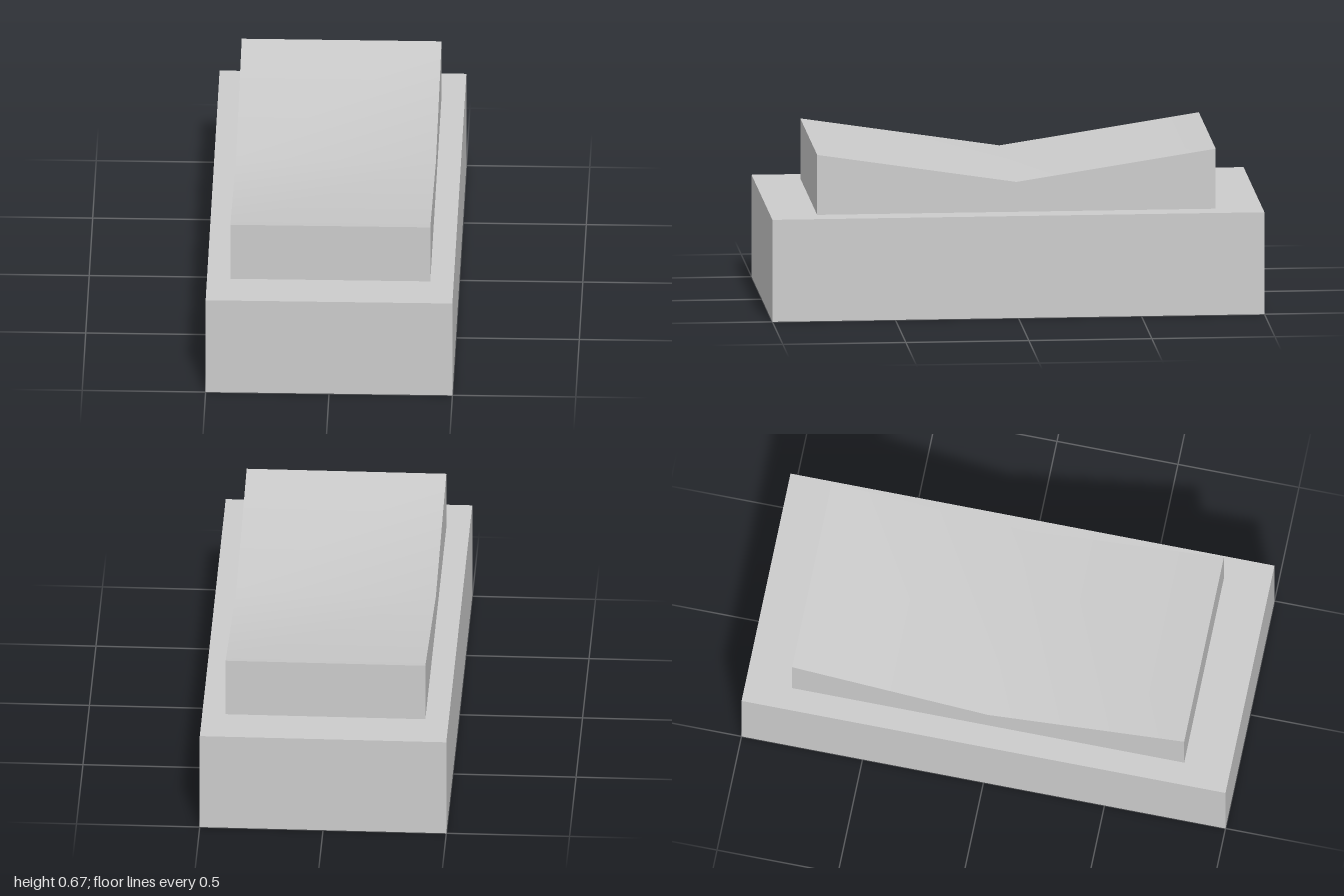
import * as THREE from 'three';
import { toCreasedNormals } from 'three/addons/utils/BufferGeometryUtils.js';

const BASE_HEIGHT = 0.42;
const ROCKER = { halfWidth: 0.405, halfLength: 0.81, endY: 0.667, valleyY: 0.543 };

export function createModel() {
  const model = new THREE.Group();
  model.name = 'rockerSwitch';
  const material = new THREE.MeshStandardMaterial({ color: 0xcccccc });

  // Housing: plain block
  const housing = new THREE.Mesh(new THREE.BoxGeometry(1, BASE_HEIGHT, 2), material);
  housing.name = 'housing';
  housing.position.y = BASE_HEIGHT / 2;
  model.add(housing);

  // Rocker: side profile with a shallow valley, extruded across the width
  const { halfWidth, halfLength, endY, valleyY } = ROCKER;
  const profile = new THREE.Shape([
    new THREE.Vector2(-halfLength, BASE_HEIGHT),
    new THREE.Vector2(halfLength, BASE_HEIGHT),
    new THREE.Vector2(halfLength, endY),
    new THREE.Vector2(0, valleyY),
    new THREE.Vector2(-halfLength, endY),
  ]);
  const geometry = new THREE.ExtrudeGeometry(profile, { depth: 2 * halfWidth, bevelEnabled: false });
  geometry.translate(0, 0, -halfWidth);
  geometry.rotateY(-Math.PI / 2);

  // The valley is shaded smooth, all other edges stay sharp
  const rocker = new THREE.Mesh(toCreasedNormals(geometry, 0.5), material);
  rocker.name = 'rocker';
  model.add(rocker);

  return model;
}
